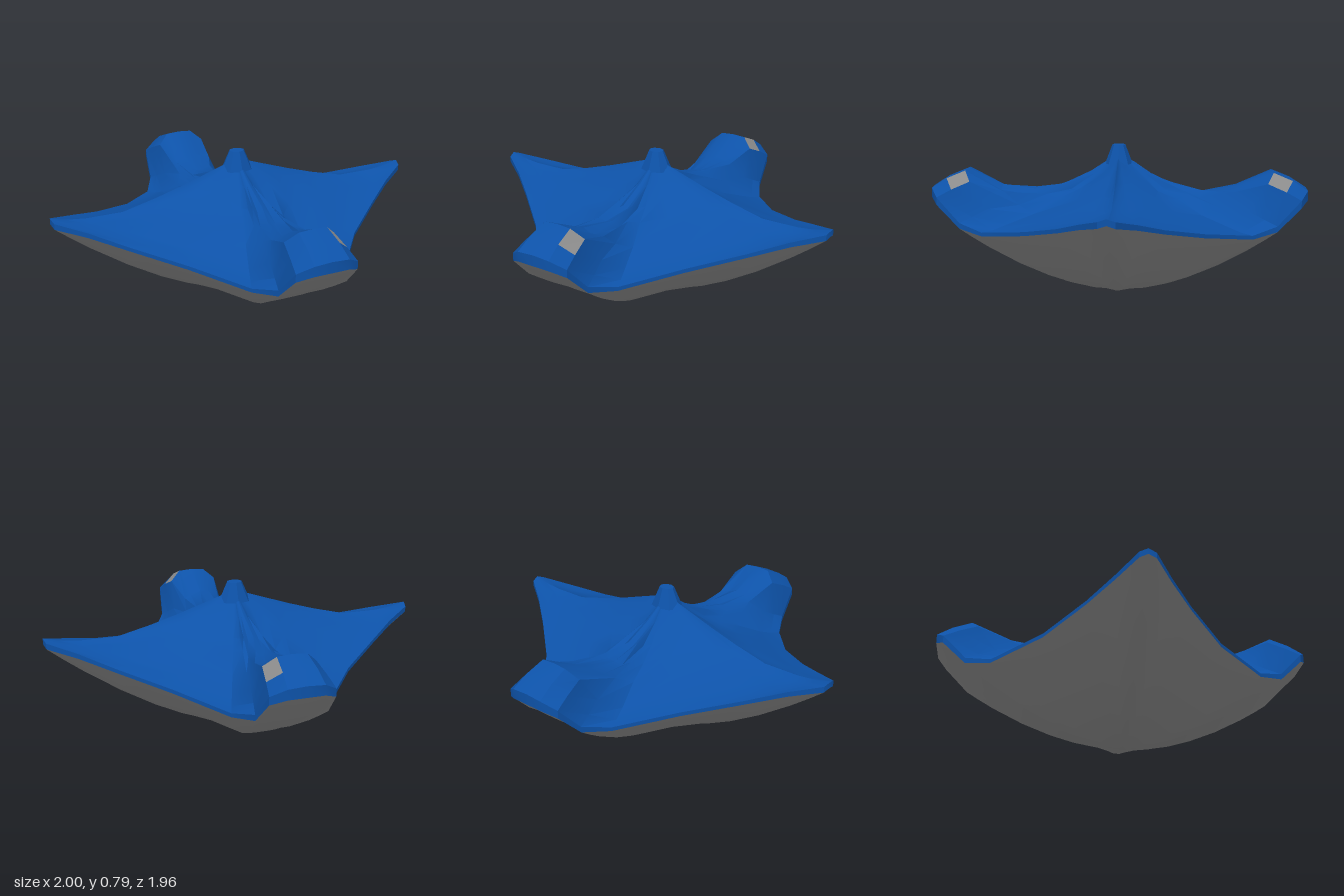
import * as THREE from 'three';
import { toCreasedNormals } from 'three/addons/utils/BufferGeometryUtils.js';

// Fractions of the way from the centre to the rim
const STEPS = [0, 0.15, 0.3, 0.45, 0.63, 0.82, 0.92, 1];

// Spokes of one quadrant, from wing tip to end block:
// rim x, rim z, underside rim y, rim band height, underside curve, upper heights at the inner steps
const QUADRANT = [
  [1.0, 0, 0.55, 0.03, 1.5, [0.69, 0.64, 0.595, 0.55, 0.55, 0.56]],
  [0.99, 0.04, 0.535, 0.03, 1.5, [0.68, 0.62, 0.575, 0.535, 0.53, 0.55]],
  [0.85, 0.13, 0.5, 0.025, 1.5, [0.675, 0.615, 0.57, 0.53, 0.51, 0.505]],
  [0.69, 0.25, 0.45, 0.02, 1.5, [0.67, 0.61, 0.56, 0.52, 0.48, 0.47]],
  [0.46, 0.44, 0.385, 0.02, 1.5, [0.65, 0.59, 0.54, 0.49, 0.44, 0.42]],
  [0.25, 0.69, 0.335, 0.02, 1.6, [0.64, 0.56, 0.5, 0.45, 0.39, 0.365]],
  [0.18, 0.82, 0.36, 0.03, 1.7, [0.635, 0.56, 0.52, 0.49, 0.46, 0.42]],
  [0.16, 0.94, 0.48, 0.04, 1.8, [0.635, 0.565, 0.53, 0.54, 0.6, 0.56]],
  [0.09, 0.98, 0.51, 0.05, 1.8, [0.64, 0.57, 0.54, 0.56, 0.65, 0.61]],
  [0, 0.98, 0.51, 0.055, 1.8, [0.645, 0.575, 0.54, 0.57, 0.655, 0.615]],
];

// Mirror the quadrant into a closed ring running from +x towards +z
function makeRing() {
  const flip = (list, sx, sz) => list.map(([x, z, ...rest]) => [x * sx, z * sz, ...rest]);
  const back = [...QUADRANT].reverse();
  return [
    ...flip(QUADRANT, 1, 1).slice(0, -1),
    ...flip(back, -1, 1).slice(0, -1),
    ...flip(QUADRANT, -1, -1).slice(0, -1),
    ...flip(back, 1, -1).slice(0, -1),
  ];
}

function upperPoint([x, z, y, band, , heights], k) {
  const t = STEPS[k];
  let h = k === 0 ? 0.74 : k === 7 ? y + band : heights[k - 1];
  // Slight crumpling of the middle of the front and back slopes
  if (k > 1 && k < 5 && Math.abs(x) < 0.6 && Math.abs(x) > 0.05) {
    h += 0.014 * Math.sin(x * 41 + z * 23 + k * 2.4);
  }
  return [x * t, h, z * t];
}

function lowerPoint([x, z, y, , curve], k) {
  const t = STEPS[k];
  return [x * t, y * Math.pow(t, curve), z * t];
}

// Surface of all ring cells accepted by keep; rows are built by point(spoke, row)
function makeSurface(ring, rows, point, facesDown, crease, keep = () => true) {
  const positions = [];
  const add = (a, b, c) => positions.push(...a, ...(facesDown ? b : c), ...(facesDown ? c : b));
  ring.forEach((spoke, i) => {
    const next = ring[(i + 1) % ring.length];
    for (let k = 0; k < rows - 1; k++) {
      if (!keep(spoke, next, k)) continue;
      const a = point(spoke, k), b = point(spoke, k + 1);
      const c = point(next, k + 1), d = point(next, k);
      add(a, b, c);
      if (k > 0 || rows === 2) add(a, c, d);
    }
  });
  const geometry = new THREE.BufferGeometry();
  geometry.setAttribute('position', new THREE.Float32BufferAttribute(positions, 3));
  return toCreasedNormals(geometry, crease);
}

export function createModel() {
  const group = new THREE.Group();
  const blue = new THREE.MeshStandardMaterial({ color: 0x0d52a8 });
  blue.name = 'blue';
  blue.side = THREE.DoubleSide;
  const grey = new THREE.MeshStandardMaterial({ color: 0x8c8c8c });
  grey.name = 'grey';
  grey.side = THREE.DoubleSide;

  const ring = makeRing();
  const addMesh = (name, geometry, material) => {
    const mesh = new THREE.Mesh(geometry, material);
    mesh.name = name;
    group.add(mesh);
    return mesh;
  };

  // Small bare patch on the shoulder of each end block, on the +x side
  const isPatch = (a, b, k) =>
    k === 5 && Math.min(a[0], b[0]) > 0.08 && Math.max(a[0], b[0]) < 0.17;

  addMesh('upperSkin', makeSurface(ring, 8, upperPoint, false, 0.6, (a, b, k) => !isPatch(a, b, k)), blue);
  addMesh('shoulderPatches', makeSurface(ring, 8, upperPoint, false, 0.6, isPatch), grey);
  addMesh('underside', makeSurface(ring, 8, lowerPoint, true, 0.8), grey);

  // Narrow band joining the upper skin to the underside
  const rimPoint = (spoke, k) => (k === 0 ? lowerPoint(spoke, 7) : upperPoint(spoke, 7));
  addMesh('rimBand', makeSurface(ring, 2, rimPoint, true, 0.6), blue);

  // Stubby knob on the peak
  const knob = addMesh('peakKnob', new THREE.CylinderGeometry(0.04, 0.085, 0.1, 8), blue);
  knob.geometry = toCreasedNormals(knob.geometry, 0.6);
  knob.position.y = 0.735;
  knob.scale.z = 0.85;

  return group;
}
